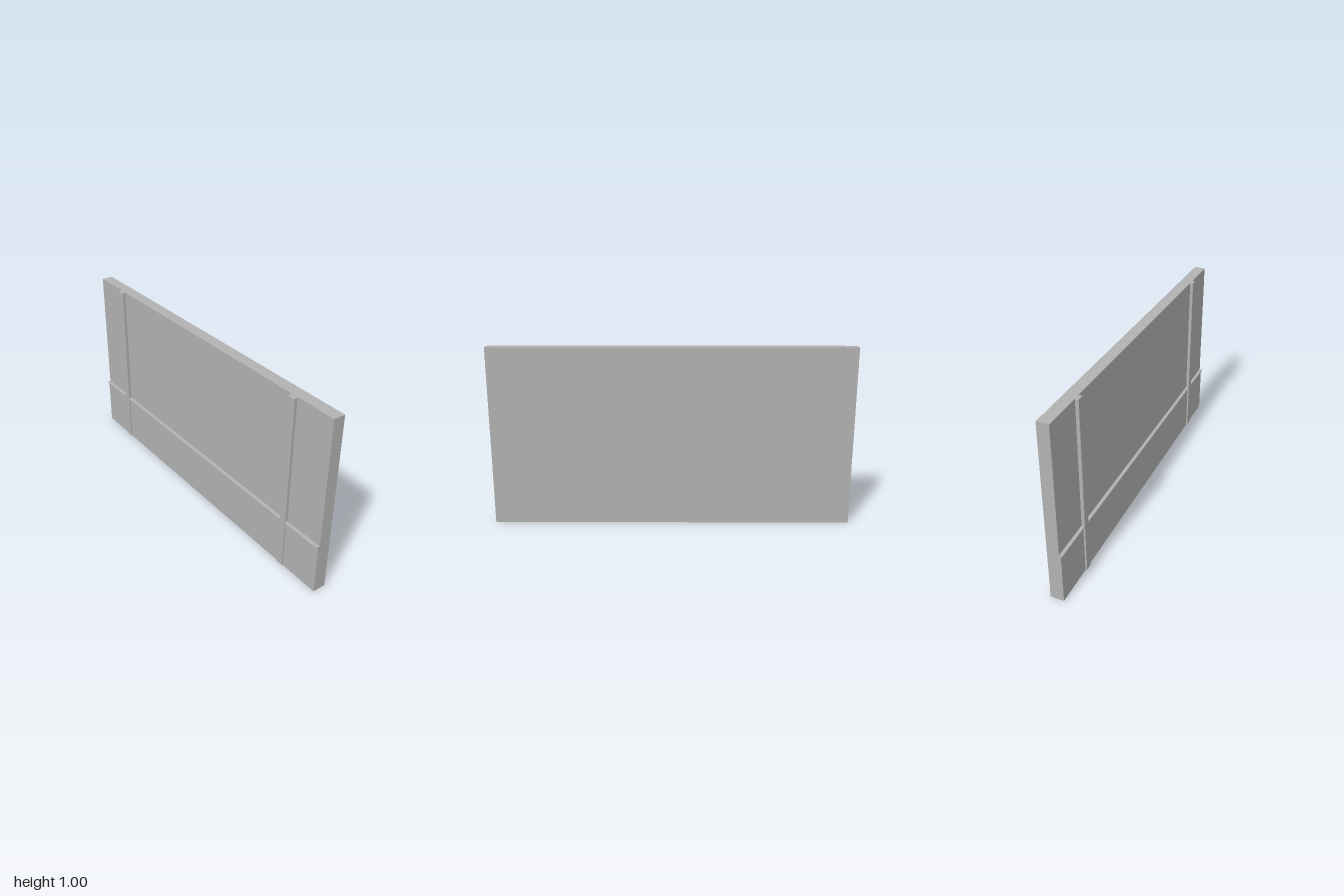
import * as THREE from 'three';

const LENGTH = 2;

// Extrudes an x-y cross-section along the full length of the wall
function sweepAlongZ(points, material, name) {
  const shape = new THREE.Shape(points.map(([x, y]) => new THREE.Vector2(x, y)));
  const geometry = new THREE.ExtrudeGeometry(shape, { depth: LENGTH, bevelEnabled: false });
  geometry.translate(0, 0, -LENGTH / 2);
  const mesh = new THREE.Mesh(geometry, material);
  mesh.name = name;
  return mesh;
}

// Upright batten with small chamfers around its outer face
function makeBatten(z, material, name) {
  const bottom = 0.003, top = 0.998, half = 0.02, bevel = 0.002;
  const shape = new THREE.Shape([
    new THREE.Vector2(-half, bottom), new THREE.Vector2(half, bottom),
    new THREE.Vector2(half, top), new THREE.Vector2(-half, top),
  ]);
  const geometry = new THREE.ExtrudeGeometry(shape, {
    depth: 0.021, bevelThickness: bevel, bevelSize: bevel, bevelOffset: -bevel, bevelSegments: 1,
  });
  geometry.rotateY(-Math.PI / 2);
  const mesh = new THREE.Mesh(geometry, material);
  mesh.position.set(-0.018, 0, z);
  mesh.name = name;
  return mesh;
}

export function createModel() {
  const model = new THREE.Group();
  model.name = 'wallPanel';
  const grey = new THREE.MeshStandardMaterial({ color: 0xb2b2b2 });
  grey.name = 'plain grey';

  // Slab, slightly thicker below the rail
  model.add(sweepAlongZ([
    [-0.032, 0], [0.041, 0], [0.041, 1], [-0.023, 1], [-0.023, 0.283], [-0.032, 0.283],
  ], grey, 'wallSlab'));

  // Horizontal rail capping the thicker lower part
  model.add(sweepAlongZ([
    [-0.02, 0.288], [-0.039, 0.288], [-0.041, 0.286], [-0.041, 0.281],
    [-0.038, 0.278], [-0.031, 0.278], [-0.031, 0.282], [-0.02, 0.282],
  ], grey, 'horizontalRail'));

  // Pair of upright battens
  model.add(makeBatten(0.75, grey, 'frontBatten'));
  model.add(makeBatten(-0.75, grey, 'backBatten'));
  return model;
}
